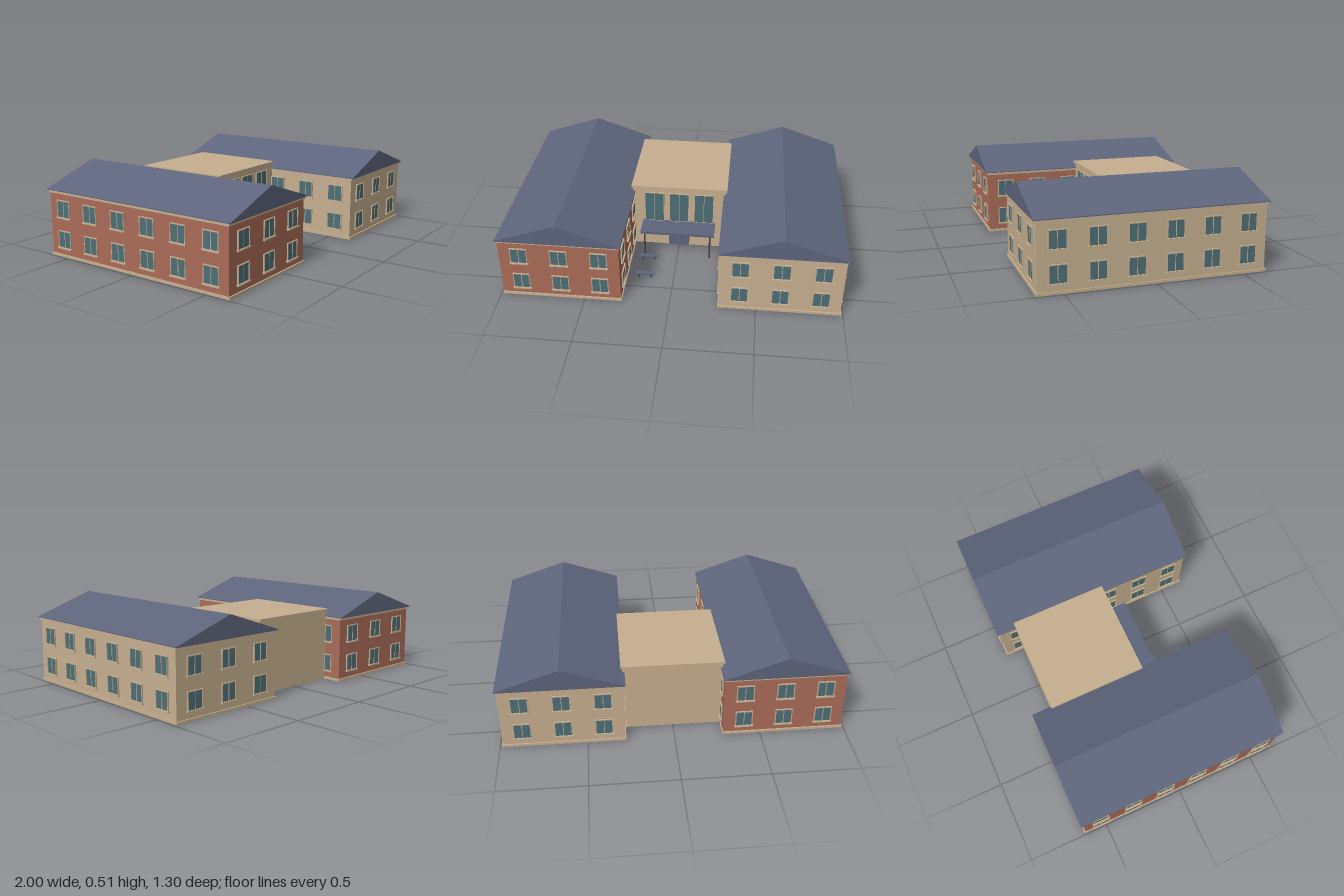
import * as THREE from 'three';
import { mergeGeometries } from 'three/addons/utils/BufferGeometryUtils.js';

const mat = (name, color) => {
  const m = new THREE.MeshStandardMaterial({ color });
  m.name = name;
  return m;
};

export function createModel() {
  const model = new THREE.Group();
  model.name = 'building';
  const stone = mat('tan stone', 0xc6af90);
  const brick = mat('red brick', 0xaa6c58);
  const slate = mat('blue slate', 0x5e657c);
  const glass = mat('teal glass', 0x4d6f76);
  const metal = mat('dark metal', 0x3f434f);

  const boxGeo = (w, h, d, x, y, z) => new THREE.BoxGeometry(w, h, d).translate(x, y, z);
  const add = (parent, name, geo, material) => {
    const m = new THREE.Mesh(geo, material);
    m.name = name;
    parent.add(m);
    return m;
  };
  // Box given by its lower and upper corners
  const block = (parent, name, material, x0, x1, y0, y1, z0, z1) =>
    add(parent, name, boxGeo(x1 - x0, y1 - y0, z1 - z0, (x0 + x1) / 2, (y0 + y1) / 2, (z0 + z1) / 2), material);

  // Frame bars with a centre mullion, facing +z, origin at the window centre
  const frameGeo = (w, h, t, mullions, sill) => {
    const parts = [
      boxGeo(w, t, 0.008, 0, (h - t) / 2, 0.004),
      boxGeo(w, t, 0.008, 0, -(h - t) / 2, 0.004),
    ];
    for (const s of [-1, 1]) parts.push(boxGeo(t, h, 0.008, s * (w - t) / 2, 0, 0.004));
    for (const x of mullions) parts.push(boxGeo(t * 0.8, h, 0.006, x, 0, 0.003));
    if (sill) parts.push(boxGeo(w + 0.01, 0.008, 0.013, 0, -h / 2, 0.0065));
    return mergeGeometries(parts);
  };
  const sashFrame = frameGeo(0.1, 0.104, 0.005, [0], true);
  const sashGlass = boxGeo(0.096, 0.1, 0.004, 0, 0, 0.002);

  const addWindow = (parent, x, y, z, turn) => {
    const g = new THREE.Group();
    g.name = 'window';
    add(g, 'windowFrame', sashFrame, stone);
    add(g, 'windowGlass', sashGlass, glass);
    g.position.set(x, y, z);
    g.rotation.y = turn;
    parent.add(g);
  };

  // Two long gabled wings, each built around its own centre line
  const halfW = 0.35, halfD = 0.635;
  const rows = [0.105, 0.285];
  const sideZ = [-0.528, -0.317, -0.106, 0.106, 0.317, 0.528];
  for (const side of [-1, 1]) {
    const wing = new THREE.Group();
    wing.name = side < 0 ? 'rightWing' : 'leftWing';
    wing.position.x = side * 0.635;
    model.add(wing);
    block(wing, 'wingWalls', side < 0 ? brick : stone, -halfW, halfW, 0.001, 0.376, -halfD, halfD);
    block(wing, 'basePlinth', stone, -halfW - 0.006, halfW + 0.006, 0, 0.015, -halfD - 0.008, halfD + 0.008);
    block(wing, 'cornice', stone, -halfW - 0.006, halfW + 0.006, 0.374, 0.388, -halfD - 0.007, halfD + 0.007);

    // Gabled roof prism
    const gable = new THREE.Shape([
      new THREE.Vector2(-0.36, 0.388), new THREE.Vector2(0.36, 0.388),
      new THREE.Vector2(0.36, 0.393), new THREE.Vector2(0, 0.515), new THREE.Vector2(-0.36, 0.393),
    ]);
    const roof = new THREE.ExtrudeGeometry(gable, { depth: 1.304, bevelEnabled: false });
    add(wing, 'gabledRoof', roof.translate(0, 0, -0.652), slate);

    for (const y of rows) {
      for (const x of [-0.232, 0, 0.232]) {
        addWindow(wing, x, y, halfD, 0);
        addWindow(wing, x, y, -halfD, Math.PI);
      }
      for (const z of sideZ) {
        addWindow(wing, side * halfW, y, z, side * Math.PI / 2);
        // Inner walls have no windows where the centre block joins
        if (z > 0 || z < -0.5) addWindow(wing, -side * halfW, y, z, -side * Math.PI / 2);
      }
    }
  }

  // Central entrance block
  const centre = new THREE.Group();
  centre.name = 'entranceBlock';
  model.add(centre);
  const face = 0.055;
  block(centre, 'centreWalls', stone, -0.288, 0.288, 0.0005, 0.422, -0.525, face);
  block(centre, 'flatRoof', stone, -0.297, 0.297, 0.42, 0.434, -0.532, 0.064);

  // Tall windows above the canopy
  const tallFrame = frameGeo(0.122, 0.21, 0.004, [0], false);
  for (const x of [-0.155, 0, 0.155]) {
    const g = new THREE.Group();
    g.name = 'tallWindow';
    add(g, 'tallFrame', tallFrame, stone);
    add(g, 'tallGlass', boxGeo(0.118, 0.206, 0.004, 0, 0, 0.002), glass);
    g.position.set(x, 0.284, face);
    centre.add(g);
  }

  // Entrance door with glazed upper part
  block(centre, 'doorPanels', slate, -0.068, 0.066, 0.001, 0.072, face, face + 0.005);
  block(centre, 'doorGlass', glass, -0.068, 0.066, 0.072, 0.13, face, face + 0.004);
  block(centre, 'doorHeader', stone, -0.075, 0.073, 0.13, 0.142, face, face + 0.009);
  for (const x of [-0.071, 0.069])
    block(centre, 'doorJamb', stone, x - 0.004, x + 0.004, 0, 0.132, face, face + 0.008);

  // Canopy on two posts
  block(centre, 'canopy', slate, -0.23, 0.228, 0.168, 0.183, face, 0.195);
  for (const x of [-0.205, 0.202])
    add(centre, 'canopyPost', new THREE.CylinderGeometry(0.005, 0.005, 0.17, 10).translate(x, 0.085, 0.18), metal);

  // Courtyard benches
  for (const z of [0.228, 0.402]) {
    const bench = new THREE.Group();
    bench.name = 'bench';
    bench.position.set(-0.175, 0, z);
    model.add(bench);
    block(bench, 'benchSeat', slate, -0.057, 0.057, 0.022, 0.03, -0.013, 0.013);
    for (const x of [-0.036, 0.036])
      block(bench, 'benchLeg', metal, x - 0.004, x + 0.004, 0, 0.023, -0.01, 0.01);
  }
  return model;
}
